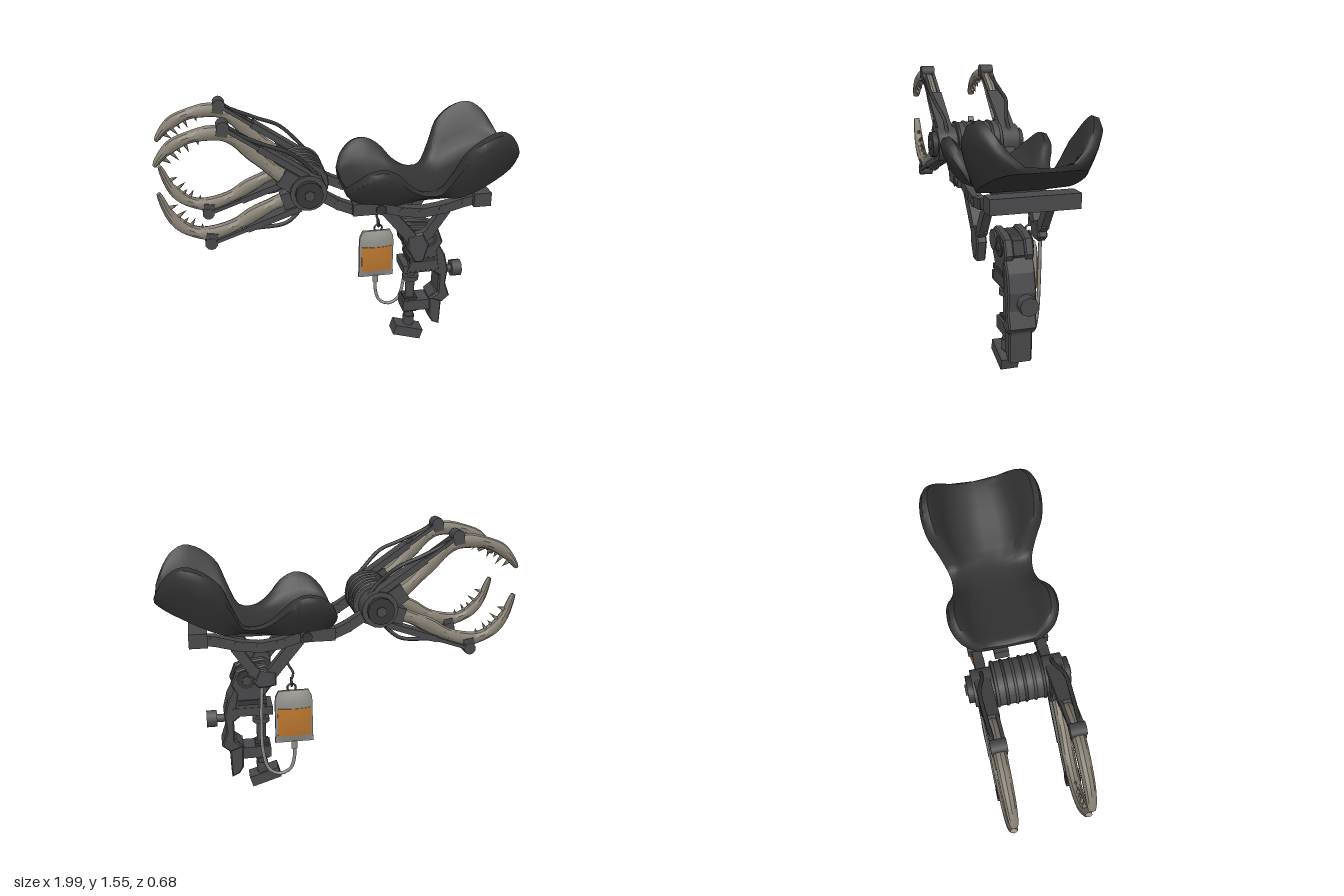
import * as THREE from 'three';
import { toCreasedNormals, mergeVertices } from 'three/addons/utils/BufferGeometryUtils.js';

const mat = (name, color) => Object.assign(new THREE.MeshStandardMaterial({ color }), { name });
const V = (x, y, z = 0) => new THREE.Vector3(x, y, z);

export function createModel() {
  const root = new THREE.Group();
  const seatMat = mat('dark leather', 0x323233);
  const metal = mat('dark metal', 0x48484a);
  const black = mat('black rubber', 0x363637);
  const bone = mat('bone', 0x857e72);
  const bagMat = mat('bag plastic', 0x8e8c86);
  const orange = mat('orange fluid', 0xb9752e);

  const add = (name, geo, material, parent = root) => {
    const m = new THREE.Mesh(geo, material);
    m.name = name;
    parent.add(m);
    return m;
  };
  const box = (name, x, y, z, w, h, d, material, parent, rot = 0) => {
    const m = add(name, new THREE.BoxGeometry(w, h, d), material, parent);
    m.position.set(x, y, z);
    m.rotation.z = rot;
    return m;
  };
  // box running between two points of the xy plane
  const bar = (name, a, b, z, h, d, material, parent) =>
    box(name, (a[0] + b[0]) / 2, (a[1] + b[1]) / 2, z, Math.hypot(b[0] - a[0], b[1] - a[1]), h, d,
      material, parent, Math.atan2(b[1] - a[1], b[0] - a[0]));
  // cylinder lying along z
  const disc = (name, x, y, z, r, d, material, parent, sides = 16) => {
    const m = add(name, new THREE.CylinderGeometry(r, r, d, sides).rotateX(Math.PI / 2), material, parent);
    m.position.set(x, y, z);
    return m;
  };
  const post = (name, x, y, z, r, h, material, parent, sides = 14) => {
    const m = add(name, new THREE.CylinderGeometry(r, r, h, sides), material, parent);
    m.position.set(x, y, z);
    return m;
  };
  // outline in xy extruded symmetrically around z
  const plate = (name, pts, z, d, material, parent) => {
    const shape = new THREE.Shape(pts.map(p => new THREE.Vector2(p[0], p[1])));
    const g = new THREE.ExtrudeGeometry(shape, {
      depth: d - 0.016, bevelEnabled: true, bevelSize: 0.008, bevelThickness: 0.008, bevelSegments: 1, bevelOffset: -0.008 });
    return add(name, g.translate(0, 0, z - d / 2 + 0.008), material, parent);
  };
  const cable = (name, pts, r, material, parent) =>
    add(name, new THREE.TubeGeometry(new THREE.CatmullRomCurve3(pts), 30, r, 7), material, parent);
  // closed skin over equal-sized rings, turned outward by its signed volume
  const loft = (rings, crease) => {
    const n = rings[0].length, pos = [], idx = [];
    rings.forEach(r => r.forEach(p => pos.push(p.x, p.y, p.z)));
    const ends = [rings[0], rings[rings.length - 1]].map(r => {
      const c = r.reduce((s, p) => s.add(p), V(0, 0)).divideScalar(n);
      pos.push(c.x, c.y, c.z);
      return pos.length / 3 - 1;
    });
    const last = (rings.length - 1) * n;
    for (let j = 0; j < n; j++) {
      const k = (j + 1) % n;
      for (let i = 0; i < last; i += n) idx.push(i + j, i + k, i + n + j, i + k, i + n + k, i + n + j);
      idx.push(ends[0], k, j, ends[1], last + j, last + k);
    }
    const at = i => V(pos[3 * i], pos[3 * i + 1], pos[3 * i + 2]);
    let vol = 0;
    for (let t = 0; t < idx.length; t += 3) vol += at(idx[t]).dot(at(idx[t + 1]).cross(at(idx[t + 2])));
    if (vol < 0) idx.reverse();
    const g = new THREE.BufferGeometry();
    g.setAttribute('position', new THREE.Float32BufferAttribute(pos, 3));
    g.setIndex(idx);
    return toCreasedNormals(mergeVertices(g), crease);
  };

  // Saddle seat: x, half width, underside, centre height, rim height
  const stations = [
    [0.025, 0.19, 1.06, 1.09, 1.11], [0.06, 0.26, 1.045, 1.10, 1.175], [0.13, 0.30, 1.035, 1.085, 1.235],
    [0.21, 0.305, 1.03, 1.07, 1.25], [0.29, 0.29, 1.015, 1.06, 1.21], [0.37, 0.25, 1.01, 1.05, 1.125],
    [0.45, 0.235, 1.02, 1.045, 1.075], [0.54, 0.245, 1.03, 1.05, 1.08], [0.60, 0.28, 1.03, 1.06, 1.20],
    [0.65, 0.32, 1.04, 1.075, 1.32], [0.74, 0.338, 1.08, 1.11, 1.40], [0.84, 0.325, 1.13, 1.155, 1.43],
    [0.92, 0.29, 1.17, 1.19, 1.385], [0.97, 0.24, 1.195, 1.21, 1.31], [1.0, 0.16, 1.205, 1.22, 1.24]];
  const lowCurve = new THREE.CatmullRomCurve3(stations.map(s => V(s[0], s[1], s[2])));
  const topCurve = new THREE.CatmullRomCurve3(stations.map(s => V(s[0], s[3], s[4])));
  const seatRings = [];
  for (let i = 0; i <= 42; i++) {
    const { x, y: w, z: b } = lowCurve.getPoint(i / 42), { y: c, z: r } = topCurve.getPoint(i / 42);
    const h = r - b, k = r - c;
    const half = [[0.4, b], [0.77, b + 0.02 * h], [0.86, b + 0.25 * h], [0.95, b + 0.55 * h], [1, b + 0.82 * h],
      [0.95, b + 0.96 * h], [0.85, r], [0.75, r - 0.16 * k], [0.64, c + 0.48 * k], [0.52, c + 0.19 * k], [0.26, c + 0.04 * k]];
    seatRings.push([V(x, b), ...half.map(p => V(x, p[1], p[0] * w)), V(x, c),
      ...half.reverse().map(p => V(x, p[1], -p[0] * w))]);
  }
  add('seat', loft(seatRings, 0.8), seatMat);

  // Heavy curved claw with oval section and blunt tip
  const claw = (name, pts, z, parent) => {
    const curve = new THREE.CatmullRomCurve3(pts.map(p => V(p[0], p[1], z)));
    const rings = [];
    for (let i = 0; i <= 30; i++) {
      const t = i / 30, p = curve.getPoint(t), d = curve.getTangent(t);
      const taper = Math.pow(1 - t ** 4, 0.7);
      const r = 0.011 + 0.031 * taper * (0.92 + 0.12 * Math.sin(t * 26)), rz = 0.018 + 0.017 * taper;
      rings.push(Array.from({ length: 10 }, (_, j) => {
        const a = j / 10 * Math.PI * 2, u = r * Math.cos(a);
        return V(p.x - d.y * u, p.y + d.x * u, z + rz * Math.sin(a));
      }));
    }
    add(name, loft(rings, 0.6), bone, parent);
    return curve;
  };
  // uneven teeth along the inner edge
  const teeth = (curve, sign, parent) => {
    [[0.62, 0.035], [0.7, 0.055], [0.76, 0.04], [0.82, 0.065], [0.9, 0.045]].forEach(([t, len]) => {
      const p = curve.getPoint(t), d = curve.getTangent(t), n = V(-d.y * sign, d.x * sign);
      const m = add('tooth', new THREE.ConeGeometry(0.013, len, 6), bone, parent);
      m.position.copy(p).addScaledVector(n, 0.03 + len / 2 - 0.008);
      m.quaternion.setFromUnitVectors(V(0, 1), n);
    });
  };

  // Left and right side assemblies
  for (const s of [1, -1]) {
    const side = new THREE.Group();
    side.name = s > 0 ? 'frontSide' : 'backSide';
    root.add(side);
    const z = 0.19 * s;
    const upper = claw('upperClaw', [[-0.25, 1.17], [-0.36, 1.25], [-0.46, 1.345], [-0.55, 1.435], [-0.65, 1.49],
      [-0.77, 1.485], [-0.87, 1.45], [-0.94, 1.395], [-0.985, 1.335]], z, side);
    teeth(upper, 1, side);
    const lower = claw('lowerClaw', [[-0.25, 1.12], [-0.36, 1.085], [-0.48, 1.03], [-0.6, 0.965], [-0.74, 0.93],
      [-0.85, 0.965], [-0.93, 1.05], [-0.98, 1.18]], z, side);
    teeth(lower, -1, side);
    // claw sockets, push rods and pistons
    bar('upperSocket', [-0.2, 1.14], [-0.34, 1.235], z, 0.1, 0.08, metal, side);
    bar('lowerSocket', [-0.2, 1.13], [-0.34, 1.09], z, 0.09, 0.08, metal, side);
    const rods = [[[-0.63, 1.525], [-0.19, 1.22]], [[-0.73, 0.88], [-0.24, 1.05]]];
    rods.forEach(([a, b], i) => {
      const mid = [a[0] + (b[0] - a[0]) * 0.4, a[1] + (b[1] - a[1]) * 0.4];
      for (const o of [-0.03, 0.03]) bar('pushRod', a, b, z + o, 0.02, 0.018, metal, side);
      bar('piston', mid, b, z, 0.034, 0.085, metal, side);
      disc('rodJoint', a[0], a[1], z, 0.034, 0.08, metal, side, 10);
      bar('jointBracket', a, i ? [-0.72, 0.94] : [-0.64, 1.48], z, 0.06, 0.075, metal, side);
    });
    cable('upperCable', [V(-0.6, 1.5, z + 0.02 * s), V(-0.42, 1.42, z + 0.03 * s), V(-0.3, 1.37, z + 0.03 * s),
      V(-0.2, 1.28, z), V(-0.12, 1.18, z)], 0.011, black, side);
    cable('lowerCable', [V(-0.68, 0.9, z), V(-0.5, 0.95, z + 0.03 * s), V(-0.32, 0.97, z + 0.03 * s),
      V(-0.22, 1.05, z)], 0.011, black, side);
    // shoulder hub
    disc('shoulderHub', -0.2, 1.14, 0.19 * s, 0.1, 0.11, metal, side, 20);
    disc('hubCap', -0.2, 1.14, 0.255 * s, 0.075, 0.04, black, side, 12);
    disc('hubBolt', -0.2, 1.14, 0.275 * s, 0.03, 0.02, metal, side, 6);
    // rail under the seat
    const rail = [[-0.14, 1.11], [-0.03, 1.04], [0.06, 1.0], [0.22, 1.0], [0.34, 0.965], [0.45, 0.95],
      [0.57, 0.965], [0.7, 1.0], [0.82, 1.015]];
    for (let i = 1; i < rail.length; i++) bar('rail', rail[i - 1], rail[i], z - 0.01 * s, 0.055, 0.055, metal, side);
    rail.slice(1, -1).forEach(p => disc('railKnuckle', p[0], p[1], z - 0.01 * s, 0.03, 0.06, metal, side, 10));
    box('railBlock', 0.14, 1.01, z, 0.19, 0.07, 0.075, metal, side);
    disc('railPivot', 0.2, 1.005, z, 0.028, 0.1, black, side, 12);
    // struts hanging from the rail
    bar('frontStrut', [0.23, 0.99], [0.41, 0.77], 0.17 * s, 0.065, 0.05, metal, side);
    bar('rearStrut', [0.59, 0.95], [0.49, 0.8], 0.17 * s, 0.055, 0.045, metal, side);
    bar('strutBridge', [0.51, 0.82], [0.42, 0.75], 0.17 * s, 0.06, 0.045, metal, side);
    plate('strutFoot', [[0.37, 0.8], [0.46, 0.82], [0.5, 0.74], [0.47, s > 0 ? 0.63 : 0.71],
      [0.42, s > 0 ? 0.63 : 0.71], [0.37, 0.72]], 0.17 * s, 0.055, metal, side);
  }

  // Ribbed drum between the shoulders
  disc('shoulderDrum', -0.2, 1.145, 0, 0.12, 0.27, metal, root, 24);
  for (let i = 0; i < 6; i++) {
    const ring = add('drumRing', new THREE.TorusGeometry(0.119, 0.009, 6, 24), i % 2 ? black : metal);
    ring.position.set(-0.2, 1.145, -0.125 + i * 0.05);
  }
  // Cross members
  box('rearCrossbar', 0.785, 1.015, 0, 0.1, 0.08, 0.47, metal);
  box('frontCrossbar', 0.16, 1.01, 0, 0.08, 0.05, 0.36, metal);
  box('seatPan', 0.42, 1.005, 0, 0.46, 0.03, 0.24, black);

  // Clamp mechanism: paired cheeks around a recessed core
  const clamp = new THREE.Group();
  clamp.name = 'clamp';
  root.add(clamp);
  const cheek = [[0.37, 0.76], [0.42, 0.8], [0.53, 0.79], [0.59, 0.77], [0.62, 0.69], [0.59, 0.63], [0.61, 0.5],
    [0.4, 0.5], [0.44, 0.6], [0.38, 0.68]];
  for (const s of [1, -1]) plate('clampCheek', cheek, 0.003 + 0.055 * s, 0.05, metal, clamp);
  plate('clampCore', cheek.map(([x, y]) => [0.5 + (x - 0.5) * 0.88, 0.64 + (y - 0.64) * 0.9]), 0.003, 0.08, black, clamp);
  disc('clampPivot', 0.43, 0.73, 0.003, 0.055, 0.18, metal, clamp);
  disc('clampPulley', 0.53, 0.72, 0.003, 0.055, 0.175, black, clamp);
  disc('pulleyBolt', 0.53, 0.72, 0.003, 0.025, 0.19, metal, clamp, 6);
  box('upperJaw', 0.5, 0.52, 0, 0.23, 0.05, 0.16, metal, clamp);
  box('jawInset', 0.5, 0.58, 0, 0.16, 0.03, 0.17, black, clamp);
  plate('upperSpine', [[0.59, 0.69], [0.64, 0.6], [0.665, 0.5], [0.655, 0.4], [0.685, 0.31], [0.64, 0.27], [0.56, 0.3],
    [0.61, 0.34], [0.61, 0.46], [0.56, 0.5], [0.56, 0.6]], 0.003, 0.155, metal, clamp);
  plate('lowerSpine', [[0.66, 0.34], [0.64, 0.26], [0.635, 0.1], [0.59, 0.12], [0.565, 0.16], [0.56, 0.3], [0.6, 0.34]],
    0, 0.13, metal, clamp);
  const knob = (x, r, w) => {
    const m = post('knob', x, 0.46, 0, r, w, metal, clamp, 8);
    m.rotation.z = Math.PI / 2;
  };
  knob(0.69, 0.025, 0.08);
  knob(0.735, 0.052, 0.06);
  box('lowerJaw', 0.49, 0.25, 0, 0.18, 0.07, 0.12, metal, clamp);
  box('jawCollar', 0.45, 0.25, 0, 0.08, 0.1, 0.09, black, clamp);
  post('clampScrew', 0.45, 0.28, 0.01, 0.028, 0.42, metal, clamp);
  post('screwCollar', 0.45, 0.435, 0.01, 0.05, 0.03, metal, clamp);
  post('screwNeck', 0.45, 0.13, 0.01, 0.035, 0.06, metal, clamp);
  box('footPad', 0.435, 0.065, 0.02, 0.18, 0.065, 0.1, metal, clamp, -0.3);

  // Hanging fluid bag: pillow box, pinched at its edges
  const bag = new THREE.Group();
  bag.name = 'fluidBag';
  bag.position.set(0.275, 0.52, -0.168);
  root.add(bag);
  const pillow = (w, y0, y1, grow) => {
    const g = new THREE.BoxGeometry(w, y1 - y0, 1, 8, 8, 1).translate(0, (y0 + y1) / 2, 0);
    const p = g.attributes.position;
    for (let i = 0; i < p.count; i++) {
      const y = p.getY(i), u = 1 - (p.getX(i) / 0.108) ** 2, v = 1 - (y / 0.155) ** 2;
      p.setZ(i, Math.sign(p.getZ(i)) * (0.008 + grow + 0.03 * Math.sqrt(Math.max(0, u * v))));
      p.setX(i, p.getX(i) * (1 - 0.2 * Math.max(0, (y - 0.09) / 0.065) ** 2));
    }
    g.computeVertexNormals();
    return g;
  };
  add('bagSkin', pillow(0.214, -0.15, 0.155, 0), bagMat, bag);
  add('fluid', pillow(0.188, -0.115, 0.055, 0.003), orange, bag);
  box('bagBottomSeal', 0, -0.145, 0, 0.22, 0.03, 0.022, bagMat, bag);
  post('bagPort', 0, -0.18, 0, 0.018, 0.05, bagMat, bag);
  const link = (y, turn) => {
    const m = add('hookLink', new THREE.TorusGeometry(0.024, 0.006, 6, 14), metal, bag);
    m.position.set(0.01, y, 0);
    m.rotation.y = turn;
  };
  link(0.17, 0);
  link(0.205, Math.PI / 2);
  cable('hangingHook', [V(0.285, 0.74, -0.17), V(0.275, 0.78, -0.17), V(0.3, 0.83, -0.17), V(0.32, 0.88, -0.17)], 0.007, metal);
  // drain tube loops under the bag and back up to the strut
  cable('drainTube', [V(0.275, 0.33, -0.168), V(0.275, 0.26, -0.165), V(0.3, 0.18, -0.16), V(0.36, 0.15, -0.155),
    V(0.42, 0.18, -0.155), V(0.455, 0.3, -0.16), V(0.46, 0.5, -0.165), V(0.45, 0.73, -0.17)], 0.01, bagMat);

  return root;
}
